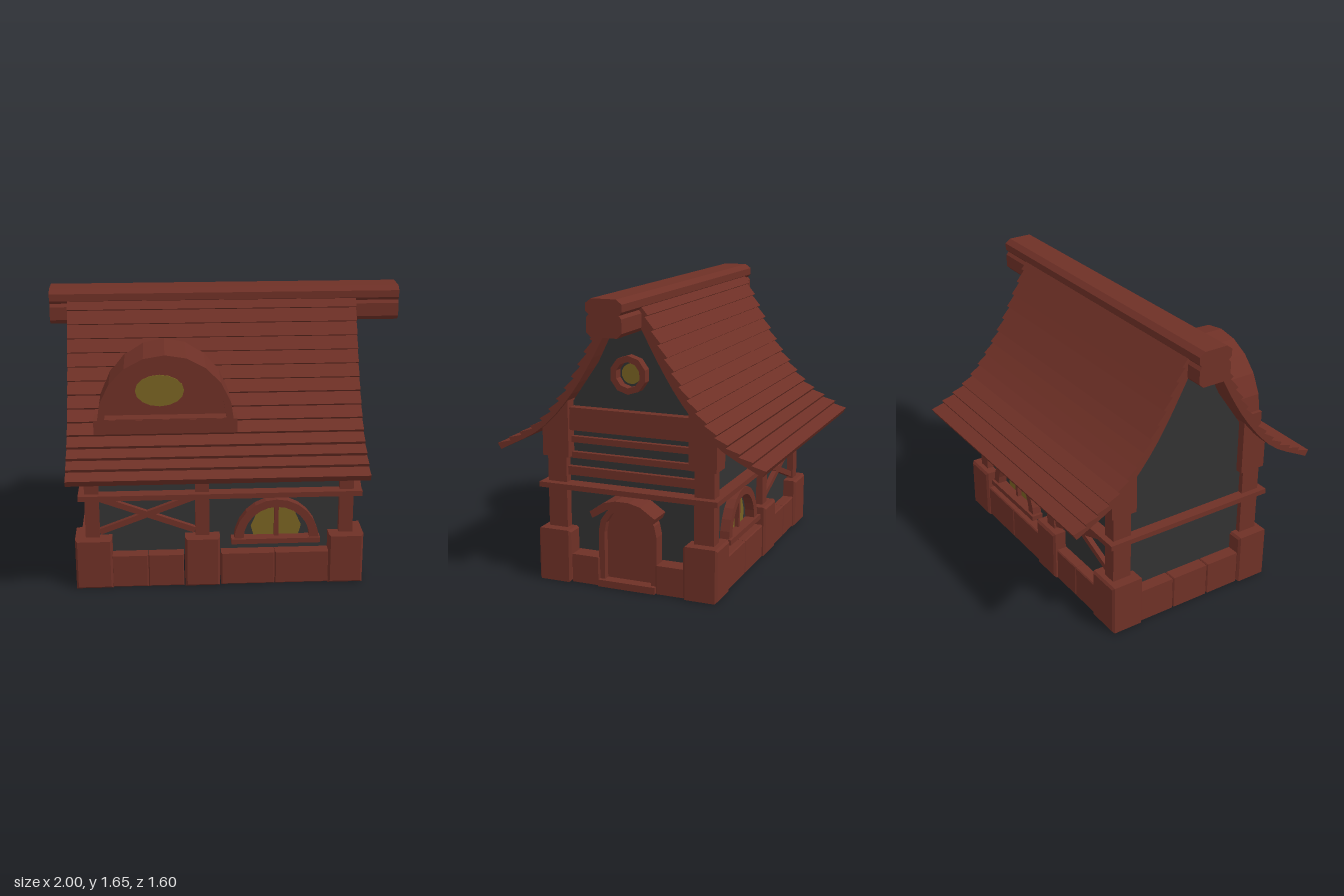
import * as THREE from 'three';

const timber = new THREE.MeshStandardMaterial({ color: 0x6e3026 });
timber.name = 'timber';
const plaster = new THREE.MeshStandardMaterial({ color: 0x323232, side: THREE.DoubleSide });
plaster.name = 'plaster';
const glass = new THREE.MeshStandardMaterial({ color: 0x786222 });
glass.name = 'glass';

export function createModel() {
  const house = new THREE.Group();
  house.name = 'timberHouse';

  const add = (name, geo, mat = timber) => {
    const m = new THREE.Mesh(geo, mat);
    m.name = name;
    house.add(m);
    return m;
  };
  const shapeOf = (pts) => new THREE.Shape(pts.map(([a, b]) => new THREE.Vector2(a, b)));
  const extrude = (shape, depth) => new THREE.ExtrudeGeometry(shape, { depth, bevelEnabled: false });
  // profile in (x, y), running from z0 to z1
  const alongZ = (shape, z0, z1) => extrude(shape, z1 - z0).translate(0, 0, z0);
  // profile in (-z, y), running from x0 to x1
  const alongX = (shape, x0, x1) => extrude(shape, x1 - x0).rotateY(Math.PI / 2).translate(x0, 0, 0);
  // half-ellipse outline with straight bottom
  const arch = (cx, y, rx, ry, n) => Array.from({ length: n + 1 }, (_, i) => {
    const a = (Math.PI * i) / n;
    return [cx + rx * Math.cos(a), y + ry * Math.sin(a)];
  });
  const withHole = (outer, inner) => {
    const s = shapeOf(outer);
    s.holes.push(new THREE.Path(inner.map(([a, b]) => new THREE.Vector2(a, b))));
    return s;
  };
  // box given by its limits, with optional chamfered edges
  const block = (name, x0, x1, y0, y1, z0, z1, c = 0) => {
    const w = x1 - x0, h = y1 - y0, d = z1 - z0;
    let geo;
    if (c) {
      const a = w / 2 - c, b = h / 2 - c;
      geo = new THREE.ExtrudeGeometry(shapeOf([[-a, -b], [a, -b], [a, b], [-a, b]]),
        { depth: d - 2 * c, bevelSize: c, bevelThickness: c, bevelSegments: 1 });
      geo.translate(0, 0, c - d / 2);
    } else geo = new THREE.BoxGeometry(w, h, d);
    geo.translate((x0 + x1) / 2, (y0 + y1) / 2, (z0 + z1) / 2);
    return add(name, geo);
  };
  // the same box on the front (s = 1) or the back (s = -1)
  const sideBlock = (s, name, x0, x1, y0, y1, z0, z1, c) =>
    block(name, x0, x1, y0, y1, s > 0 ? z0 : -z1, s > 0 ? z1 : -z0, c);

  // plaster walls, open underneath
  const gable = [[0.46, 0.17], [0.46, 0.92], [0.36, 1.03], [0.2, 1.26], [0.1, 1.46]];
  const gableShape = shapeOf([...gable, ...gable.map(([z, y]) => [-z, y]).reverse()]);
  for (const [x, dir] of [[0.66, 1], [-0.79, -1]]) {
    add('gableWall', new THREE.ShapeGeometry(gableShape).rotateY(dir * Math.PI / 2).translate(x, 0, 0), plaster);
  }
  for (const s of [1, -1]) {
    const wall = add('longWall', new THREE.PlaneGeometry(1.45, 0.76), plaster);
    wall.position.set(-0.065, 0.55, s * 0.46);
    if (s < 0) wall.rotation.y = Math.PI;
  }

  for (const s of [1, -1]) {
    // stone base along the long sides
    for (const [x0, x1] of [[-0.88, -0.67], [-0.255, -0.055], [0.57, 0.77]])
      sideBlock(s, 'tallStone', x0, x1, 0, 0.305, 0.34, 0.54, 0.012);
    for (const [x0, x1] of [[-0.675, -0.468], [-0.466, -0.262], [-0.048, 0.26], [0.262, 0.575]])
      sideBlock(s, 'lowStone', x0, x1, 0, 0.2, 0.35, 0.525, 0.006);

    // posts and their heavier heads under the eaves
    for (const [x0, x1] of [[-0.82, -0.74], [0.63, 0.71]])
      sideBlock(s, 'cornerPost', x0, x1, 0.28, 0.75, 0.385, 0.5);
    sideBlock(s, 'middlePost', -0.195, -0.115, 0.28, 0.75, 0.42, 0.5);
    const head = [[0.36, 0.72], [0.52, 0.72], [0.52, 0.9], [0.36, 1.05]].map(([z, y]) => [-s * z, y]);
    for (const [x0, x1] of [[-0.835, -0.71], [-0.215, -0.095], [0.6, 0.73]])
      add('postHead', alongX(shapeOf(head), x0, x1));

    // rail and crossed braces
    sideBlock(s, 'longRail', -0.855, 0.755, 0.54, 0.57, 0.44, 0.535);
    for (const t of [1, -1]) {
      const brace = add('crossBrace', new THREE.BoxGeometry(0.58, 0.034, 0.05));
      brace.position.set(-0.468, 0.435, s * 0.465);
      brace.rotation.z = t * 0.36;
    }

    // arched window
    const frame = withHole(arch(0.27, 0.26, 0.245, 0.26, 12), arch(0.27, 0.28, 0.19, 0.195, 12));
    add('archWindowFrame', alongZ(frame, -0.04, 0.04)).position.z = s * 0.475;
    sideBlock(s, 'windowSill', 0.01, 0.52, 0.255, 0.285, 0.44, 0.53);
    sideBlock(s, 'windowMullion', 0.258, 0.283, 0.28, 0.48, 0.445, 0.49);
    const pane = shapeOf([[0.4, 0.285], [0.415, 0.34], [0.38, 0.42], [0.32, 0.46], [0.22, 0.46],
      [0.16, 0.42], [0.125, 0.34], [0.14, 0.285]]);
    add('archWindowGlass', alongZ(pane, -0.004, 0.004), glass).position.z = s * 0.461;

    // stones beside the door
    sideBlock(s, 'doorStone', 0.58, 0.75, 0, 0.165, 0.17, 0.345, 0.008);
  }

  // stones and rails of the two ends
  for (const [z0, z1] of [[-0.345, -0.12], [-0.118, 0.12], [0.122, 0.345]])
    block('endStone', -0.865, -0.69, 0, 0.2, z0, z1, 0.006);
  block('doorStep', 0.58, 0.765, 0, 0.04, -0.172, 0.172);
  block('endRail', -0.855, -0.77, 0.54, 0.57, -0.535, 0.535);
  block('doorRail', 0.64, 0.755, 0.54, 0.57, -0.535, 0.535);

  // planking and tie beam above the door
  for (const [y0, y1, z] of [[0.61, 0.66, 0.385], [0.71, 0.745, 0.385], [0.8, 0.835, 0.365]])
    block('gablePlank', 0.645, 0.69, y0, y1, -z, z);
  block('tieBeam', 0.62, 0.715, 0.875, 1.005, -0.365, 0.365, 0.01);

  // door, frame and curved hood
  const doorOutline = (w, y0, y1, ry) => [[w, y0], ...arch(0, y1 - ry, w, ry, 8), [-w, y0]];
  add('door', alongX(shapeOf(doorOutline(0.142, 0.03, 0.47, 0.15)), 0.63, 0.7));
  add('doorFrame', alongX(withHole(doorOutline(0.175, 0.02, 0.49, 0.17), doorOutline(0.14, 0.035, 0.465, 0.15)), 0.63, 0.74));
  const hood = [[0.178, 0.415], [0.195, 0.45], [0.11, 0.507], [0.04, 0.525]];
  const hoodInner = [[-0.09, 0.47], [0, 0.485], [0.09, 0.47]];
  add('doorHood', alongX(shapeOf([...hood, ...hood.map(([z, y]) => [-z, y]).reverse(), ...hoodInner]), 0.64, 0.81));

  // round gable window
  const ring = (r, n) => Array.from({ length: n }, (_, i) => {
    const a = (2 * Math.PI * (i + 0.5)) / n;
    return [r * Math.cos(a), 1.21 + r * Math.sin(a)];
  });
  add('roundWindowFrame', alongX(withHole(ring(0.107, 10), ring(0.072, 10)), 0.63, 0.715));
  add('roundWindowGlass', alongX(shapeOf(ring(0.057, 12)), 0.66, 0.668), glass);

  // sweeping roof slopes with overlapping shingle rows
  const sweep = new THREE.CatmullRomCurve3([[0.08, 1.61], [0.18, 1.41], [0.265, 1.25], [0.36, 1.1],
    [0.535, 0.9], [0.79, 0.75]].map(([z, y]) => new THREE.Vector3(z, y, 0)));
  const rows = 14;
  const offset = (t, d) => {
    const p = sweep.getPointAt(t), g = sweep.getTangentAt(t);
    return [p.x - g.y * d, p.y + g.x * d];
  };
  const outer = [], inner = [];
  for (let i = 0; i < rows; i++) {
    outer.push(offset(i / rows, 0), offset((i + 1) / rows, 0.02));
  }
  for (let i = rows; i >= 0; i--) inner.push(offset(i / rows, -0.05 + 0.03 * (i / rows)));
  for (const s of [1, -1]) {
    const slope = shapeOf([...outer, ...inner].map(([z, y]) => [-s * z, y]));
    add(s > 0 ? 'frontRoof' : 'backRoof', alongX(slope, -0.9, 0.75));
  }

  // ridge beam
  const ridge = [[0.075, 1.455], [0.1, 1.48], [0.1, 1.555], [0.085, 1.572], [0.103, 1.59], [0.103, 1.63], [0.07, 1.655]];
  add('ridgeBeam', alongX(shapeOf([...ridge, ...ridge.map(([z, y]) => [-z, y]).reverse()]), -1, 1));

  // dormer: hollow arched hood, recessed panel, glass and sill
  const cx = -0.355;
  const shell = [[cx + 0.385, 0.97], ...arch(cx, 1.0, 0.378, 0.39, 10), [cx - 0.385, 0.97]];
  add('dormerHood', alongZ(withHole(shell, arch(cx, 1.03, 0.335, 0.325, 10)), 0.48, 0.555));
  add('dormerBody', alongZ(shapeOf(shell), 0.19, 0.48));
  const dormerPane = new THREE.Shape().absellipse(cx - 0.03, 1.17, 0.135, 0.09, 0, Math.PI * 2);
  add('dormerGlass', new THREE.ExtrudeGeometry(dormerPane, { depth: 0.008, bevelEnabled: false, curveSegments: 8 })
    .translate(0, 0, 0.478), glass);
  block('dormerSill', cx - 0.395, cx + 0.395, 0.945, 1.025, 0.44, 0.557);

  return house;
}
